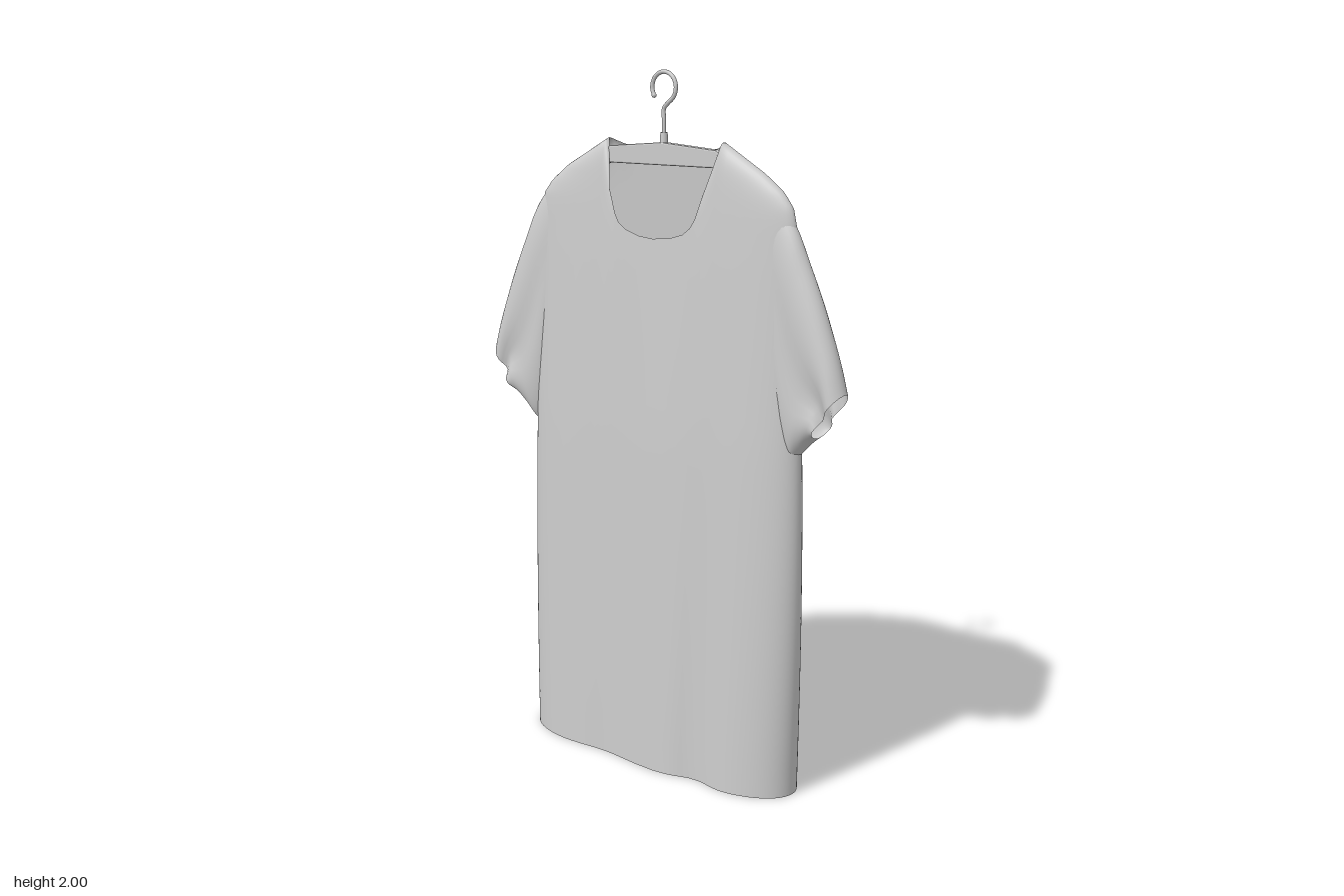
import * as THREE from 'three';
import { mergeVertices } from 'three/addons/utils/BufferGeometryUtils.js';

// Piecewise linear lookup in a list of [key, value] pairs
function lookup(points, k) {
  if (k <= points[0][0]) return points[0][1];
  for (let i = 1; i < points.length; i++) {
    const [a, va] = points[i - 1], [b, vb] = points[i];
    if (k <= b) return va + (vb - va) * (k - a) / (b - a);
  }
  return points[points.length - 1][1];
}

const flip = (points) => points.map(([a, b]) => [b, a]);
const dip = (x, at, width, depth) => depth * Math.exp(-(((x - at) / width) ** 2));

// Outline: shoulders as [x, y], depth as [y, z]
const rightShoulder = [[-0.44, 1.6], [-0.43, 1.645], [-0.4, 1.68], [-0.34, 1.725], [-0.18, 1.81]];
const leftShoulder = [[0.23, 1.81], [0.37, 1.73], [0.43, 1.685], [0.46, 1.645], [0.47, 1.6]];
const depths = [[0, 0.13], [1, 0.085], [1.5, 0.054], [1.75, 0.036], [1.81, 0.03]];
const frontNeck = [[-0.18, 1.81], [-0.145, 1.67], [-0.12, 1.6], [-0.105, 1.577], [-0.08, 1.56], [-0.03, 1.545],
  [0.02, 1.54], [0.08, 1.545], [0.125, 1.558], [0.15, 1.577], [0.165, 1.6], [0.19, 1.67], [0.23, 1.81]];

function sideEdges(y) {
  const k = Math.max(y, 1.6), t = Math.min(y / 1.6, 1);
  return [
    lookup(flip(rightShoulder), k) - 0.02 * (1 - t),
    lookup(flip(leftShoulder).reverse(), k) + 0.02 * (1 - t),
  ];
}

// Point on the front (side = 1) or back (side = -1) cloth
function clothPoint(px, py, t, side) {
  const y = py * t;
  const hemX = 0.015 + (px - 0.015) * 0.475 / 0.455;
  const x = hemX + (px - hemX) * t;
  const [l, r] = sideEdges(y);
  const u = Math.min(1, Math.abs(2 * (x - l) / (r - l) - 1));
  let z = lookup(depths, y) * Math.sqrt(Math.max(0, 1 - u ** 4));
  const fold = side > 0
    ? dip(x, 0.22, 0.07, 0.22) + dip(x, -0.12, 0.12, 0.14)
    : dip(x, 0.2, 0.07, 0.18) + dip(x, -0.05, 0.13, 0.13);
  z *= 1 - fold * Math.max(0, 1 - y / 1.5);
  const bulge = 1 + 0.04 * Math.sin(Math.PI * Math.min(1, y / 1.6));
  return [x * bulge, y, side * (u > 0.99999 ? 0 : z)];
}

// Grid of points to a welded smooth surface
function gridGeometry(grids) {
  const pos = [], index = [];
  for (const { rows, reverse } of grids) {
    const base = pos.length / 3, n = rows[0].length;
    rows.forEach((row) => row.forEach((p) => pos.push(...p)));
    for (let i = 0; i < rows.length - 1; i++) {
      for (let j = 0; j < n - 1; j++) {
        const a = base + i * n + j, b = a + 1, c = a + n, d = c + 1;
        if (reverse) index.push(a, b, c, b, d, c);
        else index.push(a, c, b, b, c, d);
      }
    }
  }
  let g = new THREE.BufferGeometry();
  g.setAttribute('position', new THREE.Float32BufferAttribute(pos, 3));
  g.setIndex(index);
  g = mergeVertices(g, 1e-5);
  g.computeVertexNormals();
  return g;
}

function shirtBody() {
  // Columns crowd towards the sides so they round off smoothly
  const right = [], left = [], N = 18, M = 40;
  for (let i = 0; i < N; i++) {
    const q = (i / N) ** 2;
    right.push(-0.44 + 0.26 * q);
    left.unshift(0.47 - 0.24 * q);
  }
  const columns = [...right, ...frontNeck.map((p) => p[0]), ...left];
  const panel = (side) => columns.map((x) => {
    let y;
    if (x < -0.18) y = lookup(rightShoulder, x);
    else if (x > 0.23) y = lookup(leftShoulder, x);
    else if (side > 0) y = lookup(frontNeck, x);
    else y = 1.81 - 0.035 * Math.sqrt(Math.max(0, Math.sin(Math.PI * (x + 0.18) / 0.41)));
    const column = [];
    for (let j = 0; j <= M; j++) column.push(clothPoint(x, y, 1 - (1 - j / M) ** 2, side));
    return column;
  });
  return gridGeometry([{ rows: panel(1), reverse: false }, { rows: panel(-1), reverse: true }]);
}

// Sleeve sections: outer x, outer y, inner x, inner y, half depth
const sleeveSections = [
  [0.36, 1.695, 0.34, 1.5, 0.024],
  [0.41, 1.66, 0.37, 1.3, 0.034],
  [0.46, 1.6, 0.4, 1.12, 0.046],
  [0.505, 1.51, 0.43, 1.0, 0.052],
  [0.55, 1.415, 0.46, 0.955, 0.054],
  [0.585, 1.33, 0.49, 0.985, 0.054],
  [0.615, 1.25, 0.525, 1.02, 0.054],
  [0.64, 1.17, 0.55, 1.04, 0.056],
];

function sleeve(side) {
  const curves = [0, 2].map((k) => new THREE.CatmullRomCurve3(
    sleeveSections.map((s) => new THREE.Vector3(s[k], s[k + 1], s[4]))));
  const rows = [], steps = 28, around = 40;
  for (let i = 0; i <= steps; i++) {
    const t = i / steps, o = curves[0].getPoint(t), n = curves[1].getPoint(t), row = [];
    for (let j = 0; j <= around; j++) {
      const a = (j % around) / around * Math.PI * 2, c = Math.cos(a), f = (1 + c) / 2;
      // Long pinched fold running down the middle of the sleeve
      const pinch = 1 - 0.6 * t * Math.exp(-(((c - 0.05) / 0.35) ** 2));
      const z = o.z * Math.sin(a) * pinch + 0.012 * t * t * side * (f - 0.5);
      const sag = 0.035 * t ** 6 * (1 - c * c);
      const x = n.x + (o.x - n.x) * f - sag * 0.4;
      row.push([side * x + (side > 0 ? 0.012 * (1 - t) : 0), n.y + (o.y - n.y) * f - sag * 0.3, z]);
    }
    rows.push(row);
  }
  return gridGeometry([{ rows, reverse: side > 0 }]);
}

export function createModel() {
  const model = new THREE.Group();
  const fabric = new THREE.MeshStandardMaterial({ color: 0xcccccc, side: THREE.DoubleSide });
  fabric.name = 'light grey';
  const add = (parent, name, geometry) => {
    const mesh = new THREE.Mesh(geometry, fabric);
    mesh.name = name;
    parent.add(mesh);
    return mesh;
  };

  // Shirt
  const shirt = new THREE.Group();
  shirt.name = 'shirt';
  add(shirt, 'body', shirtBody());
  add(shirt, 'leftSleeve', sleeve(1));
  add(shirt, 'rightSleeve', sleeve(-1));
  model.add(shirt);

  // Hanger bar with sloping arms
  const hanger = new THREE.Group();
  hanger.name = 'hanger';
  hanger.position.x = 0.02;
  const top = [[0.19, 1.788], [0.34, 1.685], [0.34, 1.65], [0.2, 1.74]];
  const outline = new THREE.Shape();
  outline.moveTo(0, 1.803);
  top.forEach(([x, y]) => outline.lineTo(x, y));
  [...top].reverse().forEach(([x, y]) => outline.lineTo(-x, y));
  outline.closePath();
  const bar = new THREE.ExtrudeGeometry(outline, {
    depth: 0.018, bevelEnabled: true, bevelSize: 0.004, bevelThickness: 0.004, bevelOffset: -0.004, bevelSegments: 2,
  });
  add(hanger, 'bar', bar.translate(0, 0, -0.009));

  // Hook
  add(hanger, 'hookCollar', new THREE.CylinderGeometry(0.01, 0.012, 0.03, 16)).position.y = 1.815;
  const path = [[0, 1.81], [0, 1.86], [0, 1.895], [0.012, 1.908]];
  for (let i = 0; i <= 10; i++) {
    const a = -0.7 + i / 10 * 4.4;
    path.push([0.042 * Math.cos(a), 1.952 + 0.042 * Math.sin(a)]);
  }
  const wire = new THREE.CatmullRomCurve3(path.map(([x, y]) => new THREE.Vector3(x, y, 0)));
  add(hanger, 'hook', new THREE.TubeGeometry(wire, 80, 0.006, 10));
  const [ex, ey] = path[path.length - 1];
  add(hanger, 'hookTip', new THREE.SphereGeometry(0.007, 12, 8)).position.set(ex, ey, 0);
  model.add(hanger);

  return model;
}
